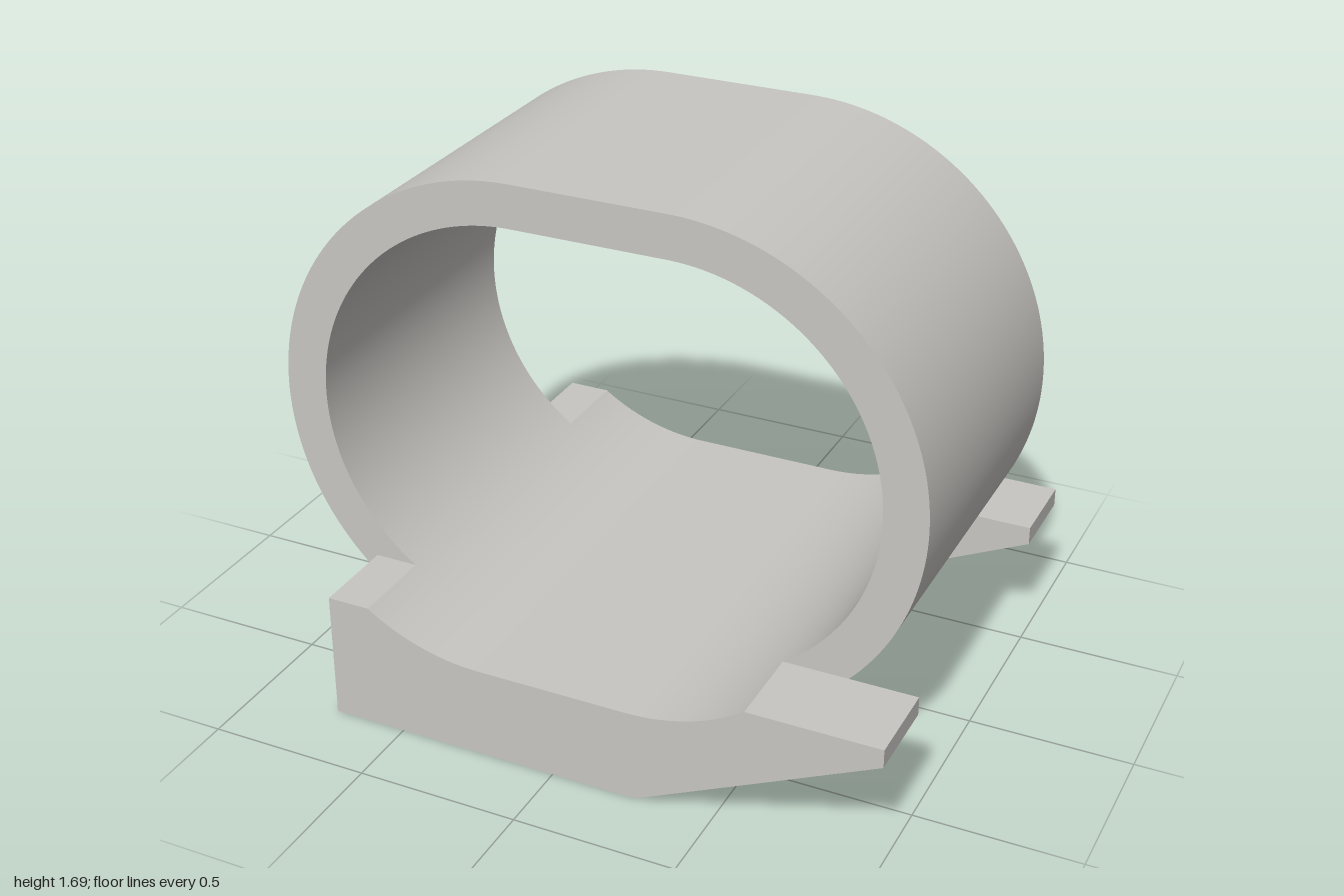
import * as THREE from 'three';
import { toCreasedNormals } from 'three/addons/utils/BufferGeometryUtils.js';

const CY = 0.922;        // height of the ring's centre
const HALF = 0.235;      // half the straight run of the ring
const R_OUT = 0.765, R_IN = 0.635;
const RING_Z = 0.5, FOOT_Z = 0.768;
const FOOT_W = FOOT_Z - RING_Z;
const LEFT = -0.73, BEND = 0.263, TOP = 0.4;
const HOLE_DEPTH = 0.08, HOLE_R = 0.08;

// Oval made of two half circles joined by straight runs
function oval(path, r) {
  path.absarc(HALF, CY, r, -Math.PI / 2, Math.PI / 2, false);
  path.absarc(-HALF, CY, r, Math.PI / 2, Math.PI * 1.5, false);
  path.closePath();
  return path;
}

function extrude(shape, depth) {
  const geo = new THREE.ExtrudeGeometry(shape, { depth, bevelEnabled: false, curveSegments: 48 });
  return toCreasedNormals(geo, 0.5);
}

export function createModel() {
  const grey = new THREE.MeshStandardMaterial({ color: 0xc8c6c2 });
  grey.name = 'light grey';
  const model = new THREE.Group();
  model.name = 'ovalClamp';

  // Oval ring
  const ringShape = oval(new THREE.Shape(), R_OUT);
  ringShape.holes.push(oval(new THREE.Path(), R_IN));
  const ring = new THREE.Mesh(extrude(ringShape, RING_Z * 2), grey);
  ring.name = 'ring';
  ring.position.z = -RING_Z;
  model.add(ring);

  // Foot profile: cradle on top, sloping underside towards +x
  const a = Math.asin((CY - TOP) / R_IN);
  const profile = new THREE.Shape();
  profile.moveTo(LEFT, HOLE_DEPTH);
  profile.lineTo(BEND, HOLE_DEPTH);
  profile.lineTo(BEND, 0);
  profile.lineTo(1, 0.343);
  profile.lineTo(1, TOP);
  profile.absarc(HALF, CY, R_IN, -a, -Math.PI / 2, true);
  profile.absarc(-HALF, CY, R_IN, -Math.PI / 2, -Math.PI + a, true);
  profile.lineTo(LEFT, TOP);
  profile.closePath();
  const cradleGeo = extrude(profile, FOOT_W);

  // Base slab with a blind screw hole from below
  const slab = new THREE.Shape();
  slab.moveTo(LEFT, -FOOT_W / 2);
  slab.lineTo(BEND, -FOOT_W / 2);
  slab.lineTo(BEND, FOOT_W / 2);
  slab.lineTo(LEFT, FOOT_W / 2);
  slab.closePath();
  slab.holes.push(new THREE.Path().absarc((LEFT + BEND) / 2, 0, HOLE_R, 0, Math.PI * 2, true));
  const slabGeo = extrude(slab, HOLE_DEPTH).rotateX(-Math.PI / 2);

  for (const [name, z] of [['frontFoot', RING_Z], ['backFoot', -FOOT_Z]]) {
    const foot = new THREE.Group();
    foot.name = name;
    foot.position.z = z;
    const cradle = new THREE.Mesh(cradleGeo, grey);
    cradle.name = 'cradle';
    const base = new THREE.Mesh(slabGeo, grey);
    base.name = 'drilledBase';
    base.position.z = FOOT_W / 2;
    foot.add(cradle, base);
    model.add(foot);
  }
  return model;
}
